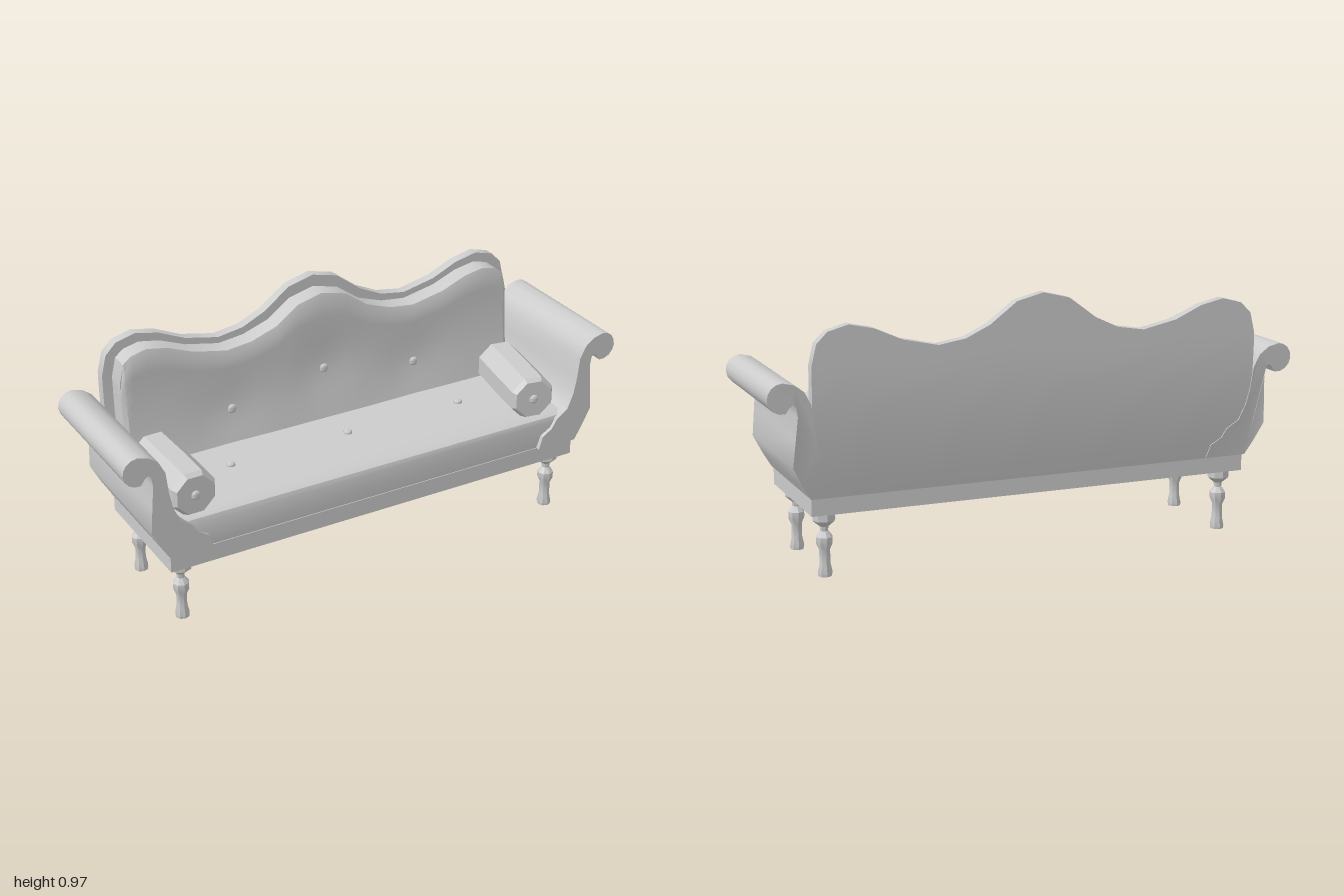
import * as THREE from 'three';
import { toCreasedNormals } from 'three/addons/utils/BufferGeometryUtils.js';

const material = new THREE.MeshStandardMaterial({ color: 0xcccccc });

function part(parent, name, geometry, x = 0, y = 0, z = 0, crease = 0.6) {
  const mesh = new THREE.Mesh(toCreasedNormals(geometry, crease), material);
  mesh.name = name;
  mesh.position.set(x, y, z);
  parent.add(mesh);
  return mesh;
}

// Forward sweep of the rear surfaces towards the floor
const sweep = y => 0.05 * Math.pow(Math.max(0, 0.75 - y) / 0.45, 1.8);

function moveVertices(geometry, rule) {
  const p = geometry.attributes.position;
  const v = new THREE.Vector3();
  for (let i = 0; i < p.count; i++) {
    rule(v.fromBufferAttribute(p, i));
    p.setXYZ(i, v.x, v.y, v.z);
  }
  return geometry;
}

// Upright slab whose top edge follows a mirrored crest line
function crestSlab(half, bottom, rows, zBack, zFront) {
  const left = half.slice(1).reverse().map(([x, y]) => [-x, y]);
  const crest = [...left, ...half];
  const n = crest.length - 1;
  const box = new THREE.BoxGeometry(1, 1, 1, n, rows, 1);
  return moveVertices(box, v => {
    const [x, top] = crest[Math.round((v.x + 0.5) * n)];
    const t = v.y + 0.5;
    const y = bottom + (top - bottom) * t;
    v.set(x, y, v.z > 0 ? zFront(x, y, t) : zBack(x, y));
  });
}

const rimCrest = [[0, 0.97], [0.1, 0.945], [0.2, 0.87], [0.29, 0.828], [0.39, 0.812], [0.52, 0.84],
  [0.62, 0.885], [0.71, 0.905], [0.785, 0.885], [0.825, 0.845], [0.843, 0.77]];
const cushionCrest = [[0, 0.925], [0.1, 0.9], [0.19, 0.835], [0.29, 0.8], [0.39, 0.788], [0.52, 0.815],
  [0.62, 0.855], [0.7, 0.87], [0.76, 0.855], [0.79, 0.83], [0.806, 0.76]];
const backButtons = [[-0.385, 0.56], [0, 0.625], [0.385, 0.56]];

// Front of the padded back, gently dimpled at the buttons
function padFront(x, y) {
  let z = -0.155 + 1.3 * sweep(y);
  for (const [bx, by] of backButtons) {
    z -= 0.012 * Math.exp(-((x - bx) ** 2 + (y - by) ** 2) / 0.012);
  }
  return z;
}

// Scroll arm outline, from the foot up the outside and down the inside
function armShape(side) {
  const points = [[0.68, 0.3], [0.842, 0.3], [0.872, 0.35], [0.908, 0.42], [0.9, 0.52], [0.893, 0.6],
    [0.898, 0.635], [0.908, 0.646], [0.922, 0.636]];
  for (let i = 0; i <= 8; i++) {
    const a = -1.75 + i * (1.75 + Math.PI / 2) / 8;
    points.push([0.945 + 0.054 * Math.cos(a), 0.669 + 0.054 * Math.sin(a)]);
  }
  points.push([0.905, 0.713], [0.87, 0.687], [0.846, 0.64], [0.837, 0.56], [0.825, 0.5],
    [0.8, 0.44], [0.755, 0.41], [0.735, 0.375], [0.695, 0.35]);
  return new THREE.Shape(points.map(([x, y]) => new THREE.Vector2(side * x, y)));
}

function button(parent, x, y, z, axis) {
  const mesh = part(parent, 'button', new THREE.SphereGeometry(0.018, 8, 5), x, y, z, 1);
  mesh.scale[axis] = 0.6;
}

export function createModel() {
  const sofa = new THREE.Group();
  sofa.name = 'sofa';

  // Base frame
  part(sofa, 'baseFrame', new THREE.BoxGeometry(1.675, 0.065, 0.48), 0, 0.2675, 0.025);

  // Turned legs
  const legProfile = [[0, 0], [0.025, 0], [0.027, 0.012], [0.02, 0.045], [0.02, 0.095], [0.03, 0.118],
    [0.03, 0.142], [0.014, 0.163], [0.016, 0.18], [0.041, 0.202], [0.041, 0.237], [0, 0.237]]
    .map(([r, y]) => new THREE.Vector2(r, y));
  for (const x of [-0.775, 0.775]) {
    for (const z of [-0.15, 0.2]) {
      part(sofa, 'leg', new THREE.LatheGeometry(legProfile, 8), x, 0, z);
    }
  }

  // Scroll arms, with their rear edge following the back
  for (const side of [-1, 1]) {
    const arm = new THREE.ExtrudeGeometry(armShape(side), { depth: 0.558, bevelEnabled: false });
    moveVertices(arm, v => {
      v.z = v.z > 0.1 ? 0.28 : -0.278 + sweep(v.y);
    });
    part(sofa, side > 0 ? 'leftArm' : 'rightArm', arm);
  }

  // Back frame with its crest, and the padded back
  part(sofa, 'backFrame', crestSlab(rimCrest, 0.298, 10,
    (x, y) => -0.274 + sweep(y), (x, y) => -0.236 + sweep(y)));
  part(sofa, 'backCushion', crestSlab(cushionCrest, 0.38, 12,
    (x, y) => -0.245 + sweep(y),
    (x, y, t) => padFront(x, y) - (t > 0.99 || Math.abs(x) > 0.8 ? 0.012 : 0)));
  for (const [x, y] of backButtons) button(sofa, x, y, padFront(x, y) + 0.004, 'z');

  // Seat with a rolled front edge (profile runs in z and y)
  const seatProfile = new THREE.Shape([[-0.2, 0.3], [0.262, 0.3], [0.268, 0.4], [0.262, 0.418],
    [0.24, 0.43], [0.15, 0.436], [-0.2, 0.436]].map(([z, y]) => new THREE.Vector2(-z, y)));
  const seat = new THREE.ExtrudeGeometry(seatProfile, { depth: 1.62, bevelEnabled: false });
  seat.translate(0, 0, -0.81).rotateY(Math.PI / 2);
  part(sofa, 'seat', seat);
  for (const x of [-0.48, 0, 0.48]) button(sofa, x, 0.438, 0.02, 'y');

  // Eight-sided bolsters with a button at each end
  const bolsterProfile = [[0, -0.172], [0.075, -0.172], [0.088, -0.155], [0.09, 0],
    [0.088, 0.155], [0.075, 0.172], [0, 0.172]].map(([r, y]) => new THREE.Vector2(r, y));
  for (const [name, x, turn] of [['rightBolster', -0.728, 0.02], ['leftBolster', 0.7, -0.18]]) {
    const bolster = new THREE.Group();
    bolster.name = name;
    bolster.position.set(x, 0.502, 0.075);
    bolster.rotation.y = turn;
    const roll = new THREE.LatheGeometry(bolsterProfile, 8, Math.PI / 8);
    part(bolster, 'bolsterRoll', roll.rotateX(Math.PI / 2));
    for (const z of [-0.173, 0.173]) button(bolster, 0, 0, z, 'z');
    sofa.add(bolster);
  }

  return sofa;
}
